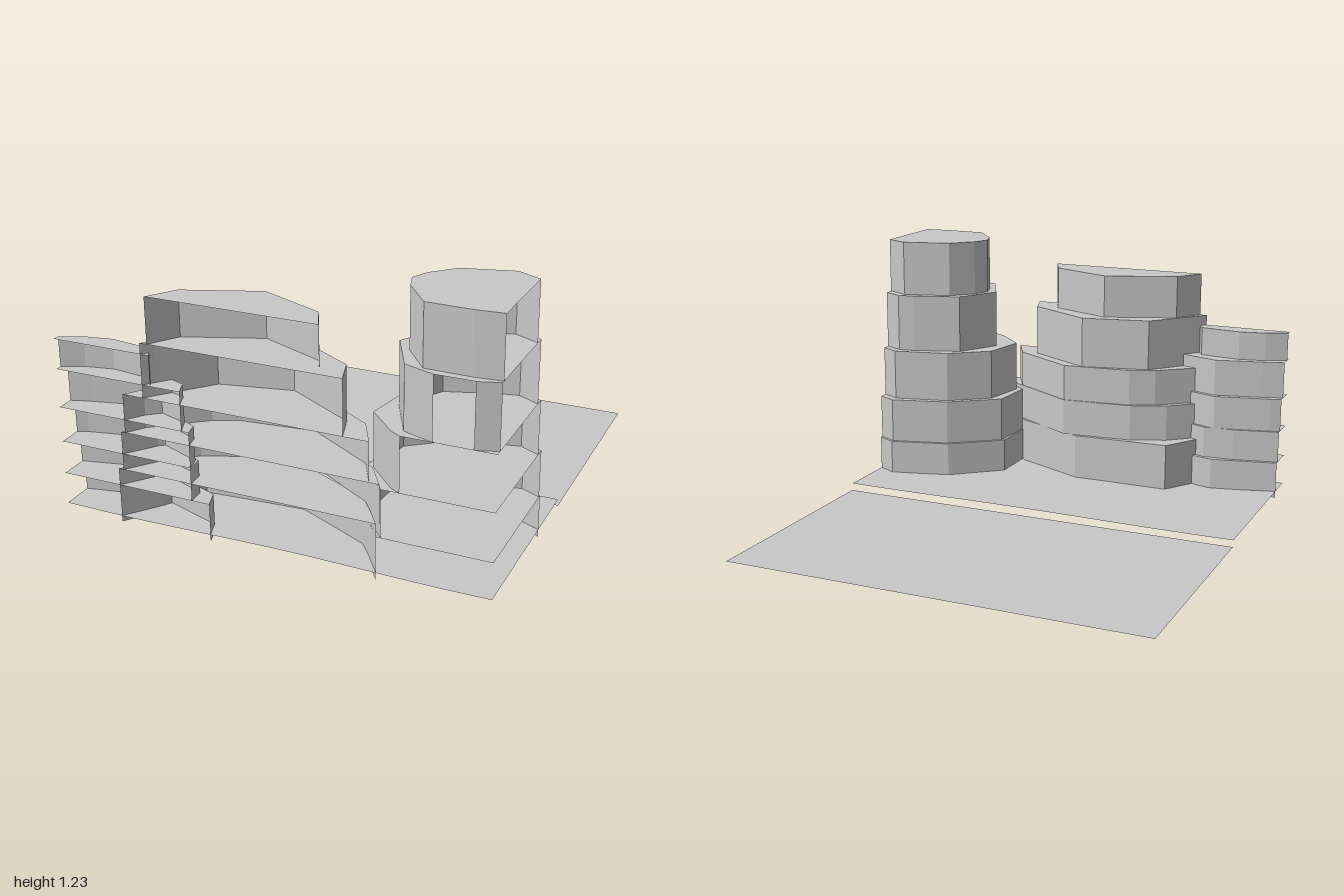
import * as THREE from 'three';

const stone = new THREE.MeshStandardMaterial({ color: 0xc8c8c8, side: THREE.DoubleSide, flatShading: true });
stone.name = 'pale grey stone';

// True where an edge lies on the cut face of the square plot, which stays open
const onCut = (a, b) => (a[1] === 1 && b[1] === 1) || (Math.abs(a[0]) === 1 && a[0] === b[0]);

// One terrace: upright walls round an [x, z] outline, open along the cut faces
function wallGeometry(outline, y0, y1) {
  const pos = [];
  outline.forEach((a, i) => {
    const b = outline[(i + 1) % outline.length];
    if (onCut(a, b)) return;
    pos.push(
      a[0], y0, a[1], a[0], y1, a[1], b[0], y1, b[1],
      a[0], y0, a[1], b[0], y1, b[1], b[0], y0, b[1]);
  });
  const g = new THREE.BufferGeometry();
  g.setAttribute('position', new THREE.Float32BufferAttribute(pos, 3));
  g.computeVertexNormals();
  return g;
}

// Flat ledge closing the top of a terrace
function ledgeGeometry(outline, y) {
  const shape = new THREE.Shape(outline.map(([x, z]) => new THREE.Vector2(x, -z)));
  return new THREE.ShapeGeometry(shape).rotateX(-Math.PI / 2).translate(0, y, 0);
}

function addMesh(parent, name, geometry) {
  const m = new THREE.Mesh(geometry, stone);
  m.name = name;
  parent.add(m);
  return m;
}

// Stack of terraces; tops holds the height of each ledge
function terracedRock(name, tops, outlines) {
  const rock = new THREE.Group();
  rock.name = name;
  outlines.forEach((outline, i) => {
    addMesh(rock, `terraceWall${i + 1}`, wallGeometry(outline, i ? tops[i - 1] : 0, tops[i]));
    addMesh(rock, `ledge${i + 1}`, ledgeGeometry(outline, tops[i]));
  });
  return rock;
}

export function createModel() {
  const model = new THREE.Group();
  model.name = 'terracedCliffs';

  // Flat sheet at the back
  addMesh(model, 'lowerGround',
    new THREE.PlaneGeometry(2, 1.085).rotateX(-Math.PI / 2).translate(0, 0, -0.4575));

  // Gently rolling sheet at the front
  const upper = new THREE.PlaneGeometry(2, 0.91, 10, 5).rotateX(-Math.PI / 2).translate(0, 0, 0.545);
  const p = upper.attributes.position;
  for (let i = 0; i < p.count; i++) {
    const x = p.getX(i), z = p.getZ(i);
    p.setY(i, 0.034 + 0.005 * Math.cos(x * 4.2 - 0.3) * (0.4 + 0.6 * z) + 0.002 * x);
  }
  upper.computeVertexNormals();
  addMesh(model, 'upperGround', upper);

  // Tall tower on the model's left
  model.add(terracedRock('towerRock', [0.2, 0.42, 0.67, 0.955, 1.225], [
    [[1, 1], [0.5, 1], [0.38, 0.83], [0.385, 0.605], [0.62, 0.42], [0.91, 0.345], [1, 0.39]],
    [[1, 1], [0.52, 1], [0.385, 0.84], [0.4, 0.605], [0.63, 0.435], [0.91, 0.36], [1, 0.405]],
    [[1, 1], [0.6, 1], [0.55, 0.97], [0.415, 0.83], [0.455, 0.6], [0.64, 0.46], [0.91, 0.4], [1, 0.45]],
    [[1, 0.97], [0.905, 1], [0.735, 1], [0.595, 0.95], [0.485, 0.73], [0.6, 0.53], [0.825, 0.455],
      [0.905, 0.44], [1, 0.49]],
    [[1, 0.955], [0.88, 0.965], [0.675, 0.96], [0.56, 0.81], [0.53, 0.72], [0.565, 0.64], [0.66, 0.54],
      [0.89, 0.48], [1, 0.535]],
  ]));

  // Broad rock in the middle
  model.add(terracedRock('middleRock', [0.26, 0.44, 0.62, 0.87, 1.08], [
    [[-0.715, 1], [-0.6, 0.85], [-0.48, 0.66], [0, 0.64], [0.36, 0.81], [0.43, 0.9], [0.5, 1]],
    [[-0.69, 1], [-0.59, 0.87], [-0.45, 0.75], [-0.28, 0.68], [0.07, 0.65], [0.43, 0.87], [0.515, 1]],
    [[-0.67, 1], [-0.615, 0.92], [-0.39, 0.74], [-0.27, 0.69], [0.07, 0.655], [0.39, 0.85], [0.47, 1]],
    [[-0.57, 1], [-0.53, 0.95], [-0.35, 0.74], [-0.02, 0.67], [0.31, 0.86], [0.355, 1]],
    [[-0.535, 1], [-0.45, 0.87], [-0.11, 0.74], [0.195, 0.87], [0.255, 1]],
  ]));

  // Low rock on the model's right, running into the middle rock
  model.add(terracedRock('lowRock', [0.18, 0.335, 0.5, 0.68, 0.82], [
    [[-1, 1], [-1, 0.85], [-0.82, 0.81], [-0.68, 0.78], [-0.6, 0.8], [-0.3, 0.91], [-0.27, 1]],
    [[-1, 1], [-1, 0.87], [-0.78, 0.82], [-0.63, 0.81], [-0.36, 0.92], [-0.355, 1]],
    [[-1, 1], [-1, 0.89], [-0.95, 0.87], [-0.68, 0.81], [-0.59, 0.84], [-0.37, 0.93], [-0.355, 1]],
    [[-1, 1], [-1, 0.92], [-0.9, 0.89], [-0.67, 0.835], [-0.42, 0.92], [-0.39, 1]],
    [[-1, 1], [-1, 0.97], [-0.9, 0.925], [-0.77, 0.9], [-0.57, 0.925], [-0.53, 1]],
  ]));

  return model;
}
